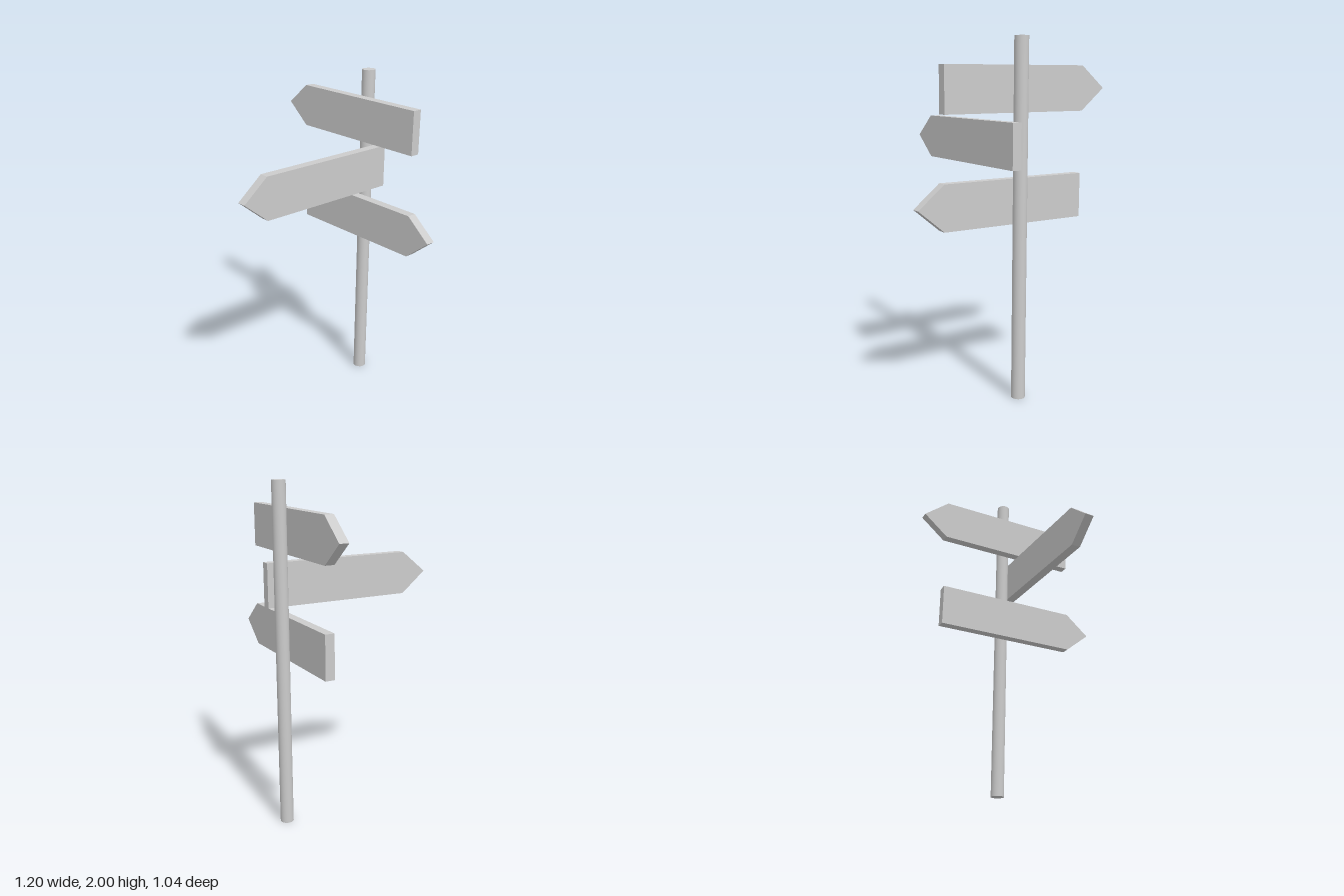
import * as THREE from 'three';

const material = new THREE.MeshStandardMaterial({ color: 0xcccccc });
const LENGTH = 1.044, HEIGHT = 0.252, THICKNESS = 0.055, POINT = 0.153;

// Flat board pointing along +x, centred on its own origin
function boardGeometry() {
  const l = LENGTH / 2, h = HEIGHT / 2;
  const shape = new THREE.Shape([
    new THREE.Vector2(-l, -h),
    new THREE.Vector2(l - POINT, -h),
    new THREE.Vector2(l, 0),
    new THREE.Vector2(l - POINT, h),
    new THREE.Vector2(-l, h),
  ]);
  return new THREE.ExtrudeGeometry(shape, { depth: THICKNESS, bevelEnabled: false })
    .translate(0, 0, -THICKNESS / 2);
}

export function createModel() {
  const group = new THREE.Group();
  group.name = 'signpost';

  // Round pole
  const pole = new THREE.Mesh(new THREE.CylinderGeometry(0.039, 0.039, 2, 32), material);
  pole.name = 'pole';
  pole.position.set(0, 1, -0.459);
  group.add(pole);

  // Three arrow boards around the pole: name, position, turn about y
  const geometry = boardGeometry();
  const boards = [
    ['upperArrowBoard', [-0.078, 1.724, -0.393], Math.PI],
    ['middleArrowBoard', [0.066, 1.426, 0], -Math.PI / 2],
    ['lowerArrowBoard', [0.078, 1.118, -0.393], 0],
  ];
  for (const [name, position, turn] of boards) {
    const board = new THREE.Mesh(geometry, material);
    board.name = name;
    board.position.set(...position);
    board.rotation.y = turn;
    group.add(board);
  }
  return group;
}
